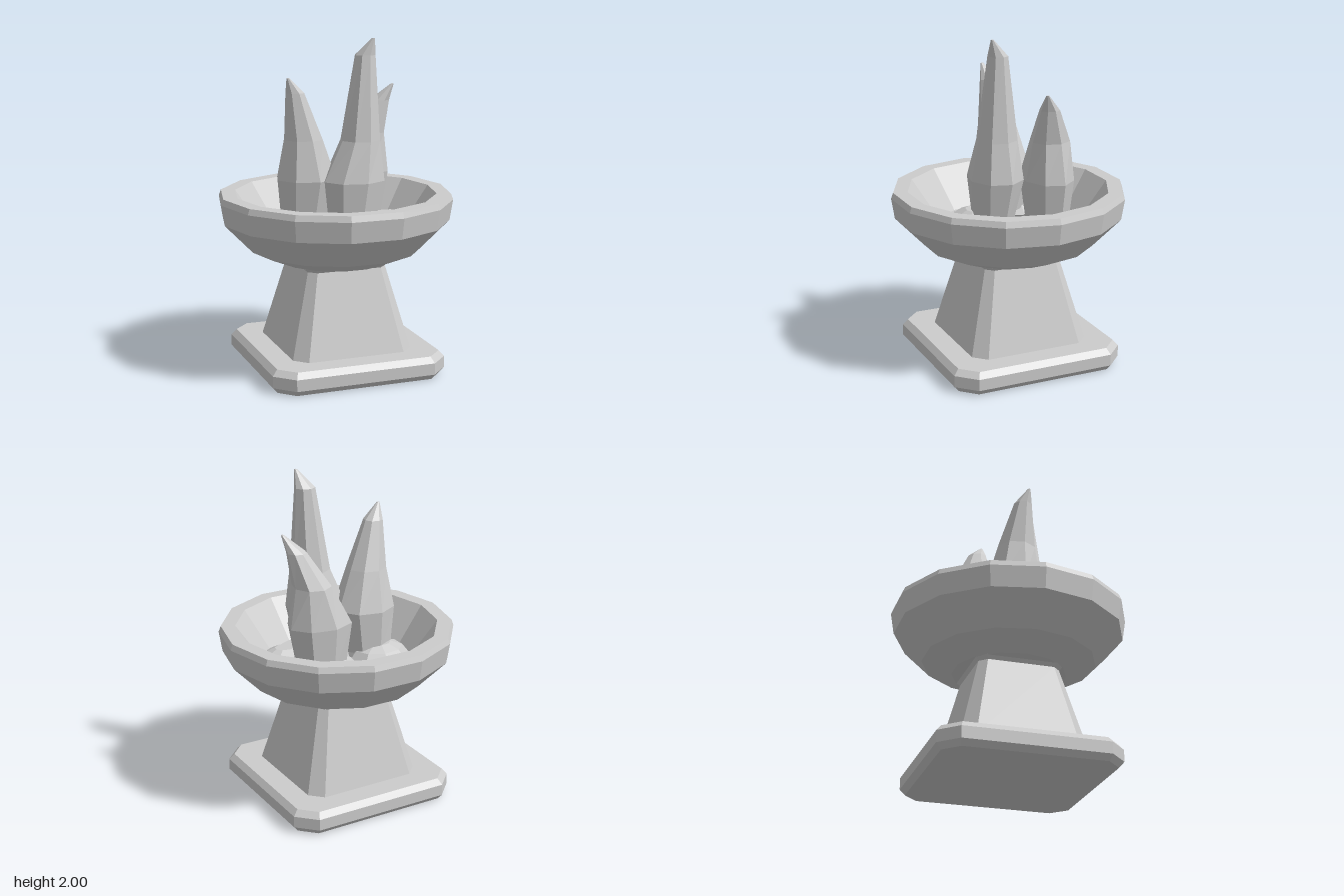
import * as THREE from 'three';

const stone = new THREE.MeshStandardMaterial({ color: 0xcccccc, flatShading: true });
stone.name = 'pale stone';

// Joins rings of points (counter-clockwise seen from above, listed bottom to top) and caps both ends
function loft(rings) {
  const pos = [];
  const tri = (a, b, c) => pos.push(...a, ...b, ...c);
  const n = rings[0].length;
  for (let r = 0; r < rings.length - 1; r++) {
    for (let i = 0; i < n; i++) {
      const j = (i + 1) % n, lo = rings[r], hi = rings[r + 1];
      tri(lo[i], lo[j], hi[j]);
      tri(lo[i], hi[j], hi[i]);
    }
  }
  const bottom = rings[0], top = rings[rings.length - 1];
  for (let i = 1; i < n - 1; i++) {
    tri(bottom[0], bottom[i + 1], bottom[i]);
    tri(top[0], top[i], top[i + 1]);
  }
  const g = new THREE.BufferGeometry();
  g.setAttribute('position', new THREE.Float32BufferAttribute(pos, 3));
  g.computeVertexNormals();
  return g;
}

// Square ring of half width h whose corners are cut back to c
const chamferedSquare = ([y, h, c]) =>
  [[h, -c], [c, -h], [-c, -h], [-h, -c], [-h, c], [-c, h], [c, h], [h, c]].map(([x, z]) => [x, y, z]);

// Elliptical ring with n sides
const ellipse = (y, x, z, rx, rz, n, turn = 0) =>
  Array.from({ length: n }, (_, i) => {
    const a = turn + (i / n) * Math.PI * 2;
    return [x + rx * Math.cos(a), y, z - rz * Math.sin(a)];
  });

export function createModel() {
  const model = new THREE.Group();
  model.name = 'fireBowl';
  const add = (name, geometry) => {
    const mesh = new THREE.Mesh(geometry, stone);
    mesh.name = name;
    model.add(mesh);
  };

  // Bevelled square foot: y, half width, corner cut
  add('foot', loft([[0, 0.51, 0.42], [0.035, 0.54, 0.43], [0.105, 0.54, 0.43], [0.14, 0.51, 0.415]].map(chamferedSquare)));

  // Tapering pillar with a small lip under the bowl
  add('pillar', loft([[0.135, 0.375, 0.3], [0.64, 0.245, 0.2], [0.662, 0.265, 0.21], [0.68, 0.265, 0.21]].map(chamferedSquare)));

  // Fourteen-sided bowl, outside then rim then inside
  const profile = [[0, 0.66], [0.34, 0.66], [0.52, 0.735], [0.69, 0.91], [0.71, 1.035], [0.697, 1.07],
    [0.61, 1.07], [0.44, 0.83], [0, 0.83]].map(([x, y]) => new THREE.Vector2(x, y));
  add('bowl', new THREE.LatheGeometry(profile, 14, Math.PI / 2));

  // Flat lumps of fuel on the bowl floor: x, z, radius x, radius z
  [[-0.22, -0.12, 0.195, 0.16], [0.17, -0.18, 0.2, 0.155], [-0.03, 0.2, 0.19, 0.155], [0.3, 0.09, 0.18, 0.13]]
    .forEach(([x, z, rx, rz], i) => {
      const levels = [[0.82, 0.9], [0.865, 1], [0.915, 0.8], [0.945, 0.4]];
      add('fuelLump' + (i + 1), loft(levels.map(([y, s]) => ellipse(y, x, z, rx * s, rz * s, 9, i))));
    });

  // Bent flames: y, centre x, centre z, radius x, radius z
  const flames = {
    tallFlame: [[0.9, 0.06, 0.13, 0.15, 0.12], [1.16, 0.075, 0.12, 0.195, 0.165], [1.4, 0.113, 0.125, 0.12, 0.125],
      [1.9, 0.14, 0.13, 0.063, 0.06], [2, 0.172, 0.178, 0.009, 0.009]],
    rightFlame: [[0.9, -0.18, -0.05, 0.15, 0.13], [1.16, -0.17, -0.03, 0.19, 0.17], [1.4, -0.195, -0.015, 0.12, 0.12],
      [1.68, -0.255, 0.01, 0.058, 0.058], [1.77, -0.305, 0.035, 0.009, 0.009]],
    leftFlame: [[0.9, 0.2, -0.16, 0.16, 0.12], [1.16, 0.205, -0.155, 0.205, 0.15], [1.4, 0.255, -0.15, 0.115, 0.12],
      [1.6, 0.33, -0.11, 0.06, 0.06], [1.7, 0.395, -0.065, 0.009, 0.009]],
  };
  for (const [name, levels] of Object.entries(flames)) {
    add(name, loft(levels.map((l) => ellipse(...l, 8, 0.15))));
  }

  return model;
}
